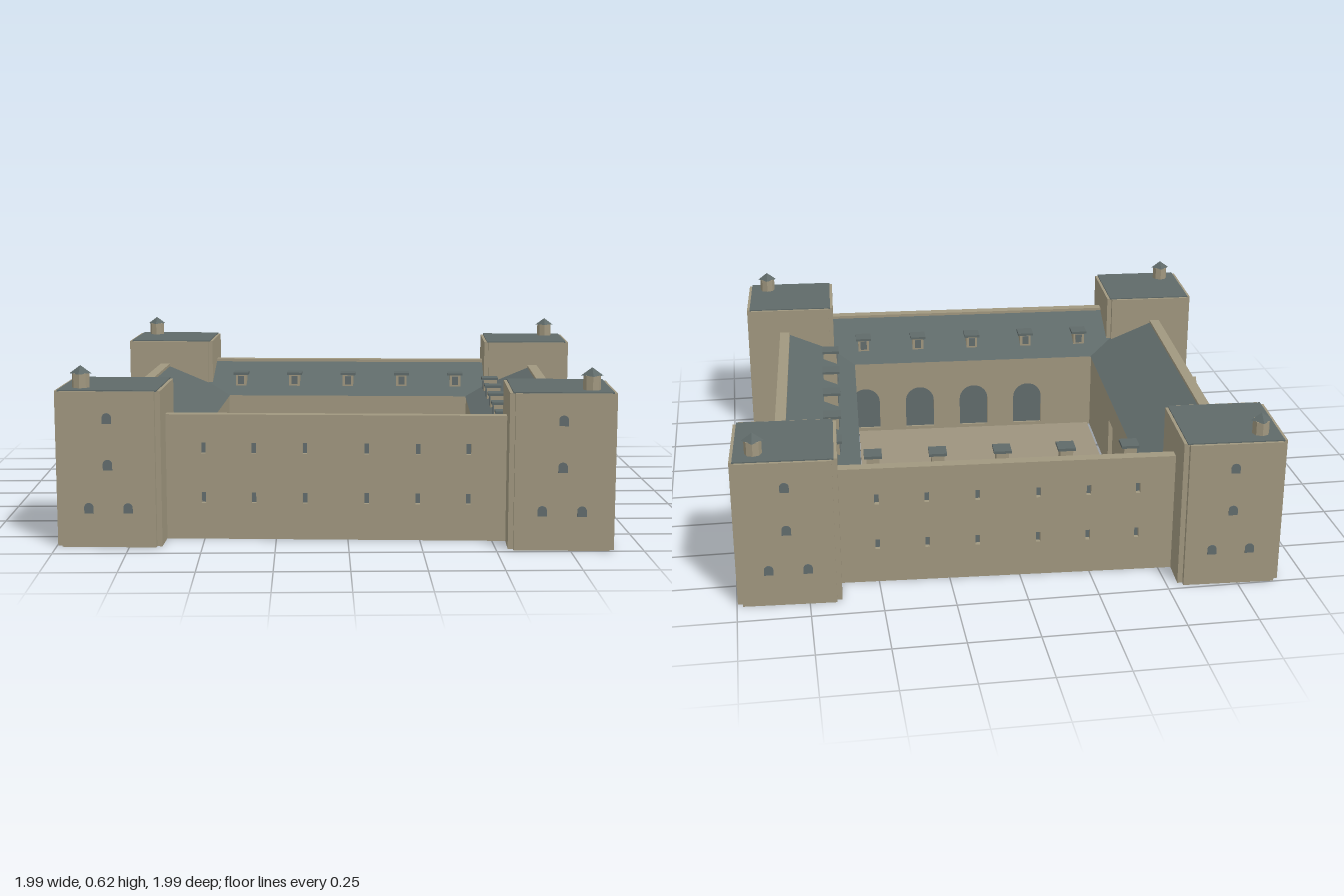
import * as THREE from 'three';

const mat = (name, color) => {
  const m = new THREE.MeshStandardMaterial({ color });
  m.name = name;
  return m;
};

export function createModel() {
  const stone = mat('stone', 0xa0977f);
  const paving = mat('paving', 0x9d937e);
  const slate = mat('slate', 0x5f6a69);
  slate.side = THREE.DoubleSide;
  const glass = mat('glass', 0x626c6d);

  const root = new THREE.Group();
  const castle = new THREE.Group();
  castle.name = 'castle';
  castle.rotation.y = -0.052;
  root.add(castle);

  const add = (parent, name, geo, material, x = 0, y = 0, z = 0) => {
    const m = new THREE.Mesh(geo, material);
    m.name = name;
    m.position.set(x, y, z);
    parent.add(m);
    return m;
  };
  const box = (w, h, d) => new THREE.BoxGeometry(w, h, d);
  const extrude = (shape, depth) =>
    new THREE.ExtrudeGeometry(shape, { depth, bevelEnabled: false, curveSegments: 8 });

  const rect = (x, y, w, h) => new THREE.Shape([
    new THREE.Vector2(x - w / 2, y), new THREE.Vector2(x + w / 2, y),
    new THREE.Vector2(x + w / 2, y + h), new THREE.Vector2(x - w / 2, y + h)]);
  const arch = (x, y, w, h) => {
    const s = new THREE.Shape();
    s.moveTo(x - w / 2, y);
    s.lineTo(x + w / 2, y);
    s.lineTo(x + w / 2, y + h - w / 2);
    s.absarc(x, y + h - w / 2, w / 2, 0, Math.PI, false);
    s.closePath();
    return s;
  };

  // Wall with openings; panes sit halfway through the thickness
  const wall = (parent, name, length, height, z, depth, openings) => {
    const s = rect(0, 0, length, height);
    openings.forEach(o => s.holes.push(o.shape));
    add(parent, name, extrude(s, depth), stone, 0, 0, z);
    openings.filter(o => o.pane).forEach(o =>
      add(parent, o.pane, extrude(o.shape, 0.006), glass, 0, 0, z + depth / 2 - 0.003));
  };

  const bays = [-0.464, -0.232, 0, 0.232, 0.464];
  const slits = [-0.46, -0.285, -0.107, 0.107, 0.285, 0.46];

  // Four wings: front, left, back and the gate side
  for (let k = 0; k < 4; k++) {
    const gate = k === 3;
    const side = new THREE.Group();
    side.name = ['frontWing', 'leftWing', 'backWing', 'gateWing'][k];
    side.rotation.y = k * Math.PI / 2;
    castle.add(side);

    // Outer wall with two rows of slit windows
    const outer = [];
    for (const x of slits) for (const y of [0.128, 0.303])
      outer.push({ shape: rect(x, y, 0.016, 0.038), pane: 'slitWindow' });
    if (gate) outer.push({ shape: rect(0, 0.005, 0.075, 0.23), pane: 'gateDoor' });
    wall(side, 'outerWall', 1.2, 0.44, 0.775, 0.04, outer);

    // Courtyard wall: arcade, or a passage on the gate side
    const inner = gate
      ? [{ shape: rect(0, 0.005, 0.09, 0.21) }]
      : bays.map(x => ({ shape: arch(x, 0.02, 0.12, 0.18), pane: 'arcadeWindow' }));
    wall(side, 'courtyardWall', 1.03, 0.315, 0.508, 0.025, inner);

    // Dormers facing the courtyard
    if (!gate) for (const x of bays) {
      const d = new THREE.Group();
      d.name = 'dormer';
      d.position.set(x, 0, 0.605);
      side.add(d);
      add(d, 'dormerBody', box(0.046, 0.07, 0.055), stone, 0, 0.36, 0.003);
      add(d, 'dormerRoof', box(0.064, 0.01, 0.068), slate, 0, 0.4, 0);
      add(d, 'dormerWindow', box(0.026, 0.035, 0.004), glass, 0, 0.372, -0.026);
    }

    // Tower windows on the outward faces
    for (const s of [-1, 1])
      for (const [dx, y] of [[0, 0.428], [0, 0.268], [-0.067, 0.118], [0.067, 0.118]])
        add(side, 'towerWindow', extrude(arch(0, 0, 0.032, 0.036), 0.004), glass, s * 0.77 + dx, y, 0.948);

    // Gate portal with pilasters and pediment
    if (gate) {
      const p = new THREE.Group();
      p.name = 'portal';
      p.position.z = 0.83;
      side.add(p);
      for (const x of [-0.05, 0.05]) {
        add(p, 'pilaster', box(0.022, 0.29, 0.03), stone, x, 0.145, 0);
        add(p, 'pilasterBase', box(0.03, 0.03, 0.04), stone, x, 0.015, 0);
      }
      add(p, 'lintel', box(0.13, 0.035, 0.04), stone, 0, 0.3, 0);
      const gable = new THREE.Shape([
        new THREE.Vector2(-0.065, 0), new THREE.Vector2(0.065, 0), new THREE.Vector2(0, 0.09)]);
      add(p, 'pediment', extrude(gable, 0.034), stone, 0, 0.317, -0.017);
    }
  }

  // Roof ring sloping down toward the courtyard
  const roof = new THREE.CylinderGeometry(0.778 * Math.SQRT2, 0.505 * Math.SQRT2, 0.115, 4, 1, true)
    .toNonIndexed();
  roof.computeVertexNormals();
  roof.rotateY(Math.PI / 4);
  add(castle, 'wingRoof', roof, slate, 0, 0.3725, 0);

  add(castle, 'courtyardFloor', box(0.99, 0.012, 0.99), paving, 0, 0.006, 0);

  // Corner towers with notched corners, flat roof and a small turret
  const a = 0.18, b = 0.162;
  const plan = new THREE.Shape([
    [a, -b], [a, b], [b, b], [b, a], [-b, a], [-b, b], [-a, b], [-a, -b], [-b, -b], [-b, -a], [b, -a], [b, -b],
  ].map(p => new THREE.Vector2(...p)));
  const towerGeo = extrude(plan, 0.537).rotateX(-Math.PI / 2);
  for (const sx of [-1, 1]) for (const sz of [-1, 1]) {
    const t = new THREE.Group();
    t.name = 'tower';
    t.position.set(sx * 0.77, 0, sz * 0.77);
    castle.add(t);
    add(t, 'towerBody', towerGeo, stone);
    add(t, 'towerRoof', box(0.338, 0.005, 0.338), slate, 0, 0.5385, 0);
    const body = new THREE.CylinderGeometry(0.03, 0.03, 0.05, 8).toNonIndexed();
    body.computeVertexNormals();
    add(t, 'turretBody', body, stone, sx * 0.1, 0.565, sz * 0.1);
    const cap = new THREE.ConeGeometry(0.038, 0.028, 4).toNonIndexed();
    cap.computeVertexNormals();
    add(t, 'turretRoof', cap, slate, sx * 0.1, 0.603, sz * 0.1);
  }
  return root;
}
